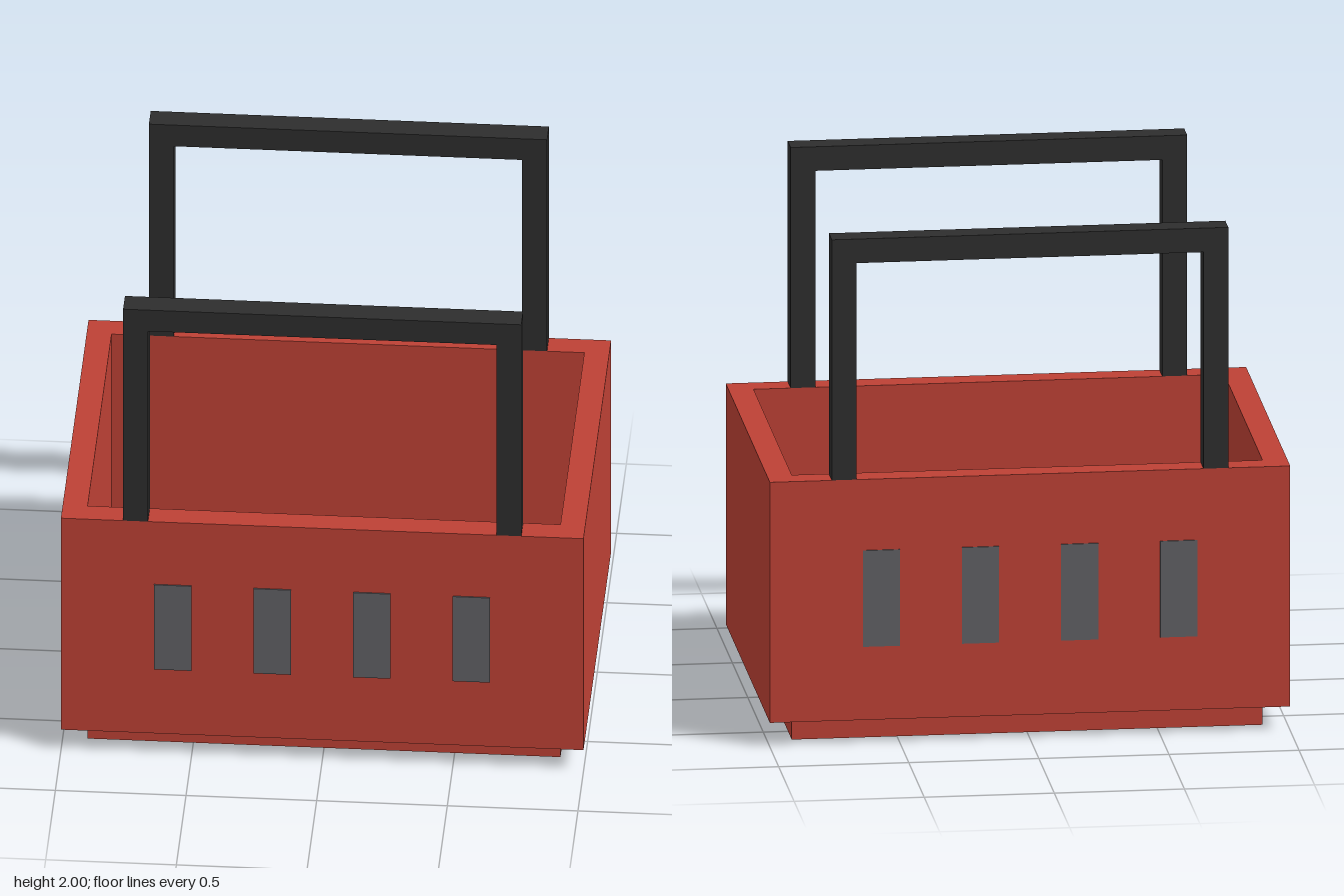
import * as THREE from 'three';

const U = 2 / 21;               // wall thickness, also the handle bar width
const HX = 1, HZ = 7.5 * U;     // half width and half depth of the basket
const RIM = 11 * U, TOP = 2;    // heights of the rim and the handle tops

// Closed outline from a list of [x, y] corners
function outline(points, Type = THREE.Shape) {
  return new Type(points.map(([x, y]) => new THREE.Vector2(x, y)));
}

function rect(hx, hy) {
  return [[-hx, -hy], [hx, -hy], [hx, hy], [-hx, hy]];
}

export function createModel() {
  const red = new THREE.MeshStandardMaterial({ color: 0xbd4135 });
  red.name = 'red';
  const black = new THREE.MeshStandardMaterial({ color: 0x2d2d2d });
  black.name = 'black';
  const grey = new THREE.MeshStandardMaterial({ color: 0x606064 });
  grey.name = 'grey';

  const model = new THREE.Group();
  model.name = 'basket';
  const add = (name, geometry, material, x = 0, y = 0, z = 0) => {
    const mesh = new THREE.Mesh(geometry, material);
    mesh.name = name;
    mesh.position.set(x, y, z);
    model.add(mesh);
  };

  // Four walls as one rectangular ring, raised from the floor
  const ring = outline(rect(HX, HZ));
  ring.holes.push(outline(rect(HX - U, HZ - U), THREE.Path));
  const walls = new THREE.ExtrudeGeometry(ring, { depth: RIM - U, bevelEnabled: false });
  walls.rotateX(-Math.PI / 2);
  add('walls', walls, red, 0, U, 0);

  // Inset floor that shows below the walls as a foot
  add('floor', new THREE.BoxGeometry(2 * (HX - U), U, 2 * (HZ - U)), red, 0, U / 2, 0);

  // Square arch handle and slot plate, repeated at the front and the back
  const w = 8 * U;
  const arch = outline([
    [-w, RIM], [-w + U, RIM], [-w + U, TOP - U], [w - U, TOP - U],
    [w - U, RIM], [w, RIM], [w, TOP], [-w, TOP],
  ]);
  const handle = new THREE.ExtrudeGeometry(arch, { depth: U, bevelEnabled: false });
  handle.translate(0, 0, -U / 2);
  const plate = new THREE.BoxGeometry(1.5 * U, 4 * U, 0.009);

  for (const [side, s] of [['front', 1], ['back', -1]]) {
    add(`${side}Handle`, handle, black, 0, 0, s * (HZ - U / 2));
    for (let i = 0; i < 4; i++) {
      add(`${side}Slot${i + 1}`, plate, grey, (i - 1.5) * 4 * U, 6.05 * U, s * (HZ + 0.0005));
    }
  }
  return model;
}
